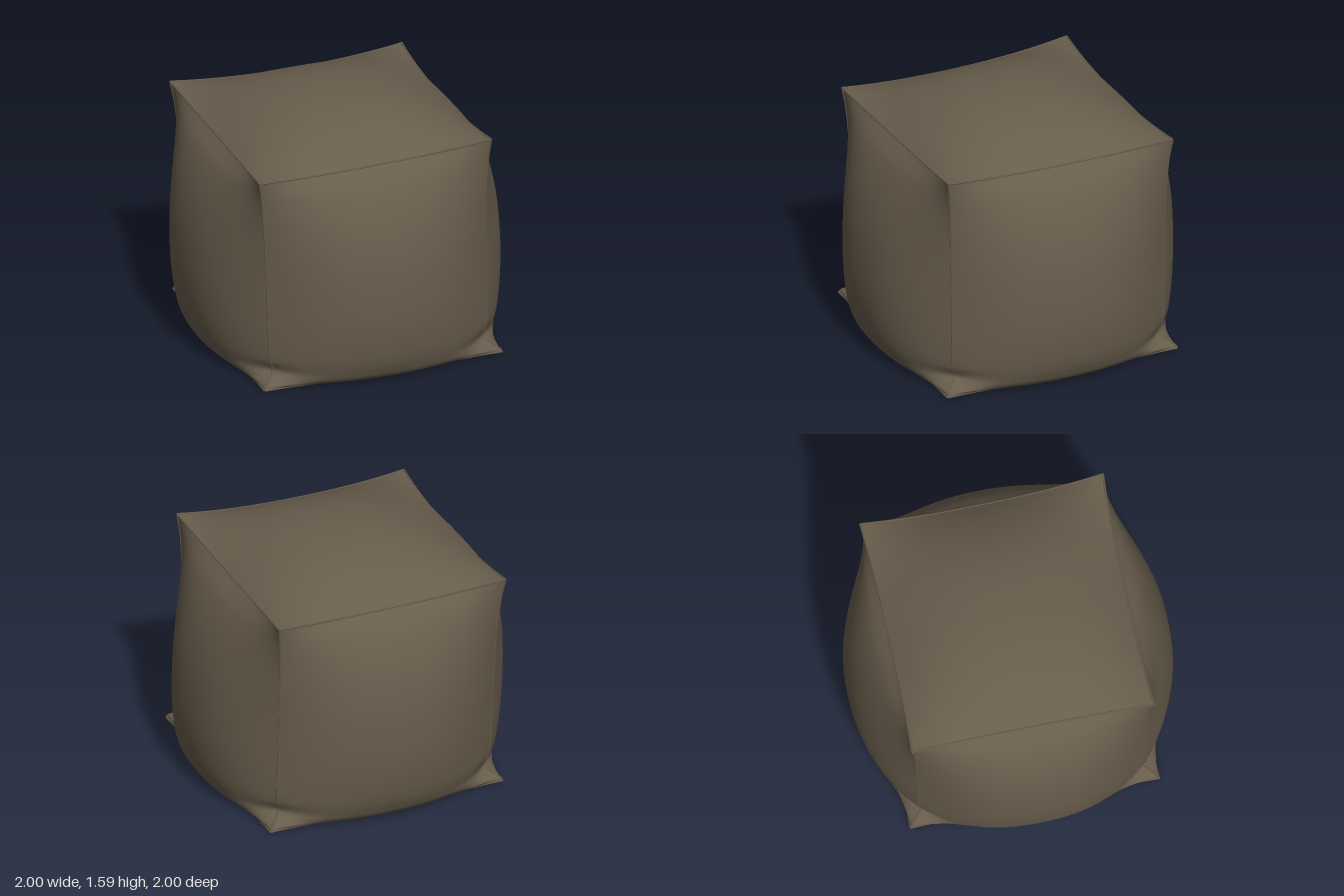
import * as THREE from 'three';

const V = (x, y, z = 0) => new THREE.Vector3(x, y, z);

// Vertical seam profile, floor to top: (half width, height, corner pinch)
const seam = new THREE.CatmullRomCurve3([
  V(0.72, 0.015, 0.055), V(0.72, 0.035, 0.045), V(0.72, 0.065, 0), V(0.72, 0.1, -0.035),
  V(0.715, 0.17, -0.012), V(0.712, 0.32), V(0.714, 0.55), V(0.718, 0.85), V(0.726, 1.1),
  V(0.74, 1.3), V(0.757, 1.42),
]);
// Profile through the middle of a side panel: (distance from axis, height)
const belly = new THREE.CatmullRomCurve3([
  V(0.79, 0.01), V(0.85, 0.02), V(0.9, 0.05), V(0.93, 0.1), V(0.96, 0.18), V(0.99, 0.35),
  V(1, 0.55), V(0.98, 0.85), V(0.92, 1.1), V(0.828, 1.29), V(0.732, 1.385),
]);

// Stuffed cross-section of a panel: 1 in the middle, 0 at the seams
const swell = (u) => 1 - Math.min(1, Math.abs(u)) ** 2.3;

// Slight lean and uneven corners of the soft cube
function slump(p) {
  const h = THREE.MathUtils.clamp(p.y / 1.42, 0, 1);
  const left = THREE.MathUtils.clamp(0.5 + p.x / 1.5, 0, 1);
  const front = THREE.MathUtils.clamp(0.5 + p.z / 1.5, 0, 1);
  p.y += h ** 4 * front * (-0.02 + 0.045 * left);
  p.x += 0.015 - 0.04 * h;
  p.z -= 0.015 * h;
  return p;
}

// Side panel point: u runs across, v runs up, quarter picks the side
function sidePoint(u, v, quarter) {
  const s = seam.getPoint(v), b = belly.getPoint(v), w = swell(u);
  const pinch = s.z * u ** 4;
  const p = V(u * (s.x + pinch), s.y + (b.y - s.y) * w, s.x + pinch + (b.x - s.x) * w);
  return slump(p.applyAxisAngle(V(0, 1, 0), (quarter * Math.PI) / 2));
}

// Top (v = 1) or bottom (v = 0) panel point, meeting the side panels at its rim
function capPoint(s, t, v, rise) {
  const e = seam.getPoint(v), b = belly.getPoint(v);
  const ws = swell(s), wt = swell(t), pinch = e.z * (s * t) ** 4;
  const x = s * (e.x + pinch + (b.x - e.x) * wt * s * s);
  const z = t * (e.x + pinch + (b.x - e.x) * ws * t * t);
  const y = e.y + (b.y - e.y) * (ws + wt) + rise * ws * wt;
  return slump(V(x, y, z));
}

export function createModel() {
  const group = new THREE.Group();
  const fabric = new THREE.MeshStandardMaterial({ color: 0x685d4c });

  const add = (name, geometry) => {
    const mesh = new THREE.Mesh(geometry, fabric);
    mesh.name = name;
    group.add(mesh);
  };
  const panel = (name, nu, nv, at) => {
    const g = new THREE.PlaneGeometry(2, 2, nu, nv);
    const pos = g.attributes.position;
    for (let i = 0; i < pos.count; i++) {
      const p = at(pos.getX(i), pos.getY(i));
      pos.setXYZ(i, p.x, p.y, p.z);
    }
    g.computeVertexNormals();
    add(name, g);
  };
  const piping = (name, at) => {
    const pts = Array.from({ length: 41 }, (_, i) => at(i / 40));
    add(name, new THREE.TubeGeometry(new THREE.CatmullRomCurve3(pts), 80, 0.006, 6));
  };

  // Four bulging sides with their seams
  ['front', 'left', 'back', 'right'].forEach((side, q) => {
    panel(side + 'Panel', 48, 80, (u, v) => sidePoint(u, (v + 1) / 2, q));
    piping(side + 'CornerSeam', (t) => sidePoint(1, t, q));
    piping(side + 'TopSeam', (t) => sidePoint(2 * t - 1, 1, q));
    piping(side + 'BottomSeam', (t) => sidePoint(2 * t - 1, 0, q));
  });

  // Domed seat and flat base
  panel('topPanel', 48, 48, (s, t) => capPoint(s, -t, 1, 0.24));
  panel('bottomPanel', 48, 48, (s, t) => capPoint(s, t, 0, 0));

  return group;
}
